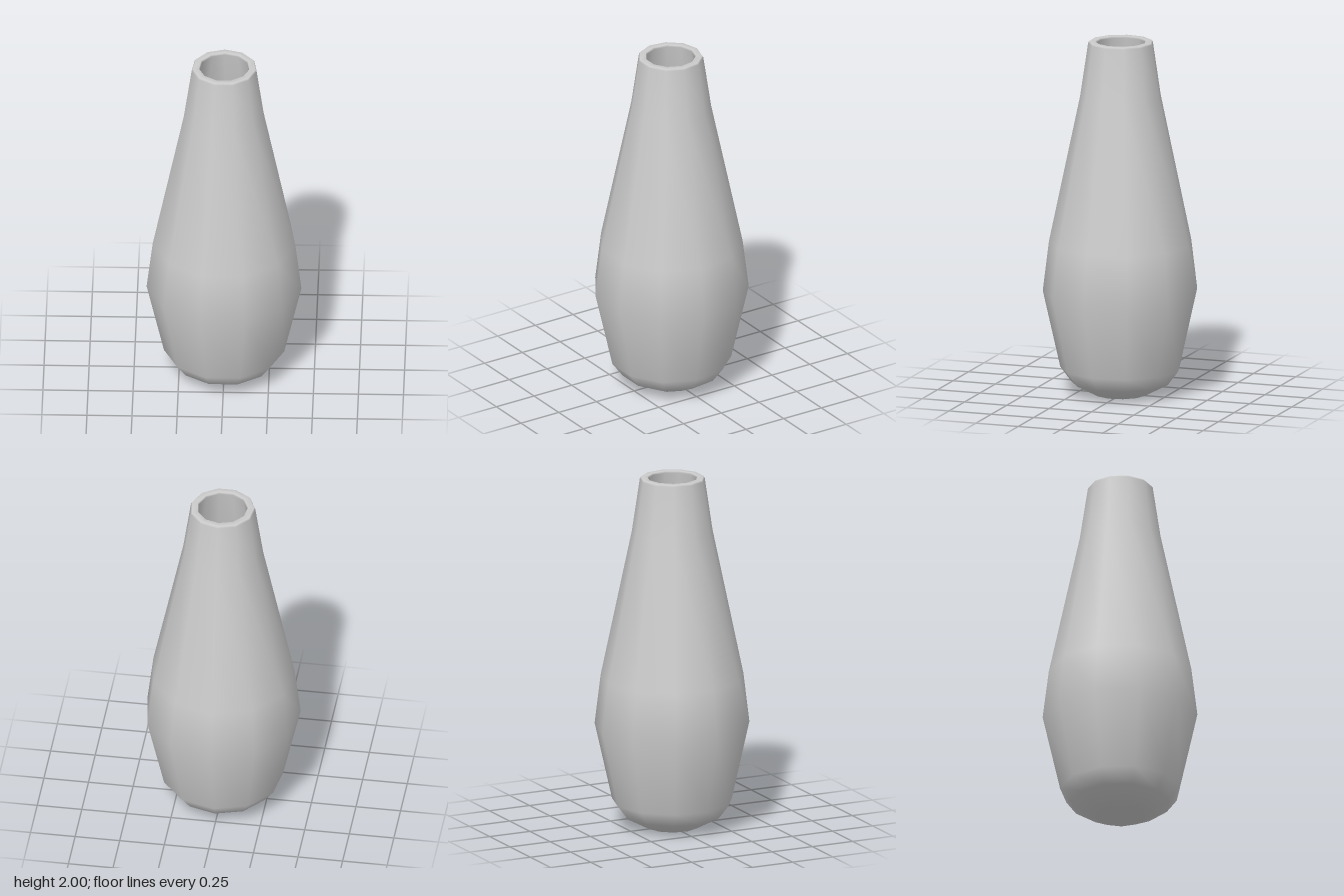
import * as THREE from 'three';

const SIDES = 11;

export function createModel() {
  const group = new THREE.Group();
  group.name = 'vase';
  const material = new THREE.MeshStandardMaterial({ color: 0xcccccc });

  // One closed profile (radius, height): base, belly, neck, rim, then down the inside
  const profile = [
    [0, 0], [0.145, 0], [0.277, 0.07], [0.337, 0.15], [0.434, 0.58],
    [0.4, 0.86], [0.226, 1.69], [0.182, 1.99], [0.176, 2],
    [0.142, 2], [0.137, 1.99],
    [0.183, 1.68], [0.357, 0.85], [0.39, 0.58], [0.297, 0.17],
    [0.25, 0.1], [0.14, 0.045], [0, 0.045],
  ].map(([r, y]) => new THREE.Vector2(r, y));

  // A corner points straight back; a flat side faces the front
  const body = new THREE.Mesh(new THREE.LatheGeometry(profile, SIDES, Math.PI), material);
  body.name = 'vaseBody';
  body.position.z = 0.009;
  group.add(body);

  return group;
}
